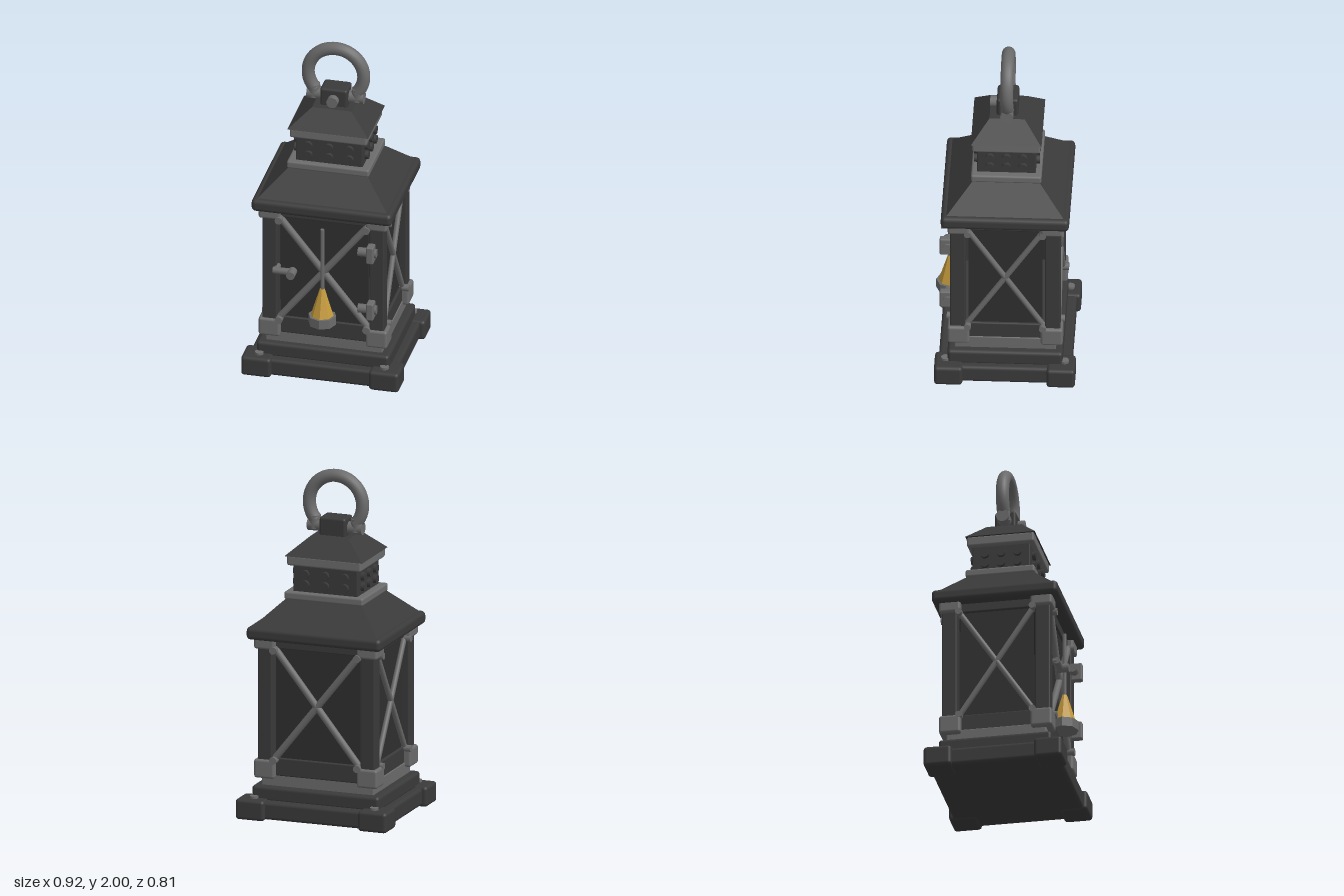
import * as THREE from 'three';
import { RoundedBoxGeometry } from 'three/addons/geometries/RoundedBoxGeometry.js';

const mat = (color, flatShading = false) => {
  const m = new THREE.MeshStandardMaterial({ color });
  m.flatShading = flatShading;
  return m;
};

export function createModel() {
  const root = new THREE.Group();
  root.name = 'lantern';
  const iron = mat(0x3a3a3a), pane = mat(0x2f2f2f), steel = mat(0x6b6b6b);
  const steelFlat = mat(0x6b6b6b, true), brass = mat(0xc49a3c, true);

  const add = (name, geo, material, x = 0, y = 0, z = 0, parent = root) => {
    const m = new THREE.Mesh(geo, material);
    m.name = name;
    m.position.set(x, y, z);
    parent.add(m);
    return m;
  };
  // Rounded block given by half width, bottom, top and half depth
  const block = (name, hx, y0, y1, hz, material, r = 0.015, x = 0, z = 0) =>
    add(name, new RoundedBoxGeometry(hx * 2, y1 - y0, hz * 2, 2, r), material, x, (y0 + y1) / 2, z);
  // Four-sided sloping roof
  const frustum = (name, bx, bz, tx, tz, y0, y1) => {
    const g = new THREE.BoxGeometry(bx * 2, y1 - y0, bz * 2);
    const p = g.attributes.position;
    for (let i = 0; i < p.count; i++) {
      if (p.getY(i) > 0) p.setXYZ(i, Math.sign(p.getX(i)) * tx, p.getY(i), Math.sign(p.getZ(i)) * tz);
    }
    g.computeVertexNormals();
    return add(name, g, iron, 0, (y0 + y1) / 2, 0);
  };
  // Round bar between two points
  const rod = (name, a, b, r, material, sides = 12) => {
    const from = new THREE.Vector3(...a), to = new THREE.Vector3(...b);
    const dir = to.clone().sub(from);
    const m = add(name, new THREE.CylinderGeometry(r, r, dir.length(), sides), material);
    m.position.copy(from).lerp(to, 0.5);
    m.quaternion.setFromUnitVectors(new THREE.Vector3(0, 1, 0), dir.normalize());
    return m;
  };
  const corners = [[-1, -1], [1, -1], [-1, 1], [1, 1]];

  // Stepped base
  block('baseSlab', 0.43, 0.008, 0.112, 0.378, iron, 0.02);
  block('baseStep', 0.387, 0.1, 0.19, 0.327, iron, 0.02);
  block('basePlinth', 0.34, 0.18, 0.262, 0.288, steel, 0.006);

  // Feet, posts and corner brackets
  for (const [sx, sz] of corners) {
    block('foot', 0.0875, 0, 0.12, 0.081, iron, 0.02, sx * 0.3725, sz * 0.319);
    rod('footRivet', [sx * 0.365, 0.11, sz * 0.338], [sx * 0.365, 0.134, sz * 0.338], 0.025, steel);
    block('post', 0.0425, 0.28, 1.04, 0.0435, iron, 0.008, sx * 0.3125, sz * 0.2695);
    block('lowerBracket', 0.0625, 0.235, 0.345, 0.0625, steel, 0.015, sx * 0.3125, sz * 0.2645);
    block('upperBracket', 0.0625, 0.99, 1.07, 0.0625, steel, 0.015, sx * 0.3125, sz * 0.2645);
  }

  // Rails
  block('lowerRail', 0.335, 0.25, 0.355, 0.293, iron, 0.008);
  block('upperRail', 0.335, 0.995, 1.07, 0.293, iron, 0.008);

  // Panes with crossed braces and rivets
  for (const s of [-1, 1]) {
    add('pane', new THREE.BoxGeometry(0.51, 0.66, 0.02), pane, 0, 0.675, s * 0.27);
    add('sidePane', new THREE.BoxGeometry(0.02, 0.66, 0.42), pane, s * 0.31, 0.675, 0);
    for (const d of [-1, 1]) {
      rod('brace', [-0.25, 0.675 - d * 0.315, s * 0.295], [0.25, 0.675 + d * 0.315, s * 0.295], 0.02, steel);
      rod('sideBrace', [s * 0.333, 0.675 - d * 0.315, -0.21], [s * 0.333, 0.675 + d * 0.315, 0.21], 0.016, steel);
      for (const y of [0.345, 0.99]) {
        rod('braceRivet', [d * 0.255, y, s * 0.28], [d * 0.255, y, s * 0.335], 0.022, steel);
        rod('sideBraceRivet', [s * 0.32, y, d * 0.213], [s * 0.375, y, d * 0.213], 0.02, steel);
      }
    }
  }

  // Main roof
  block('eave', 0.409, 1.047, 1.122, 0.364, iron, 0.025);
  frustum('roof', 0.387, 0.342, 0.225, 0.185, 1.112, 1.27);
  block('roofCollar', 0.24, 1.262, 1.308, 0.2, steel, 0.012);

  // Vented chimney
  block('chimney', 0.195, 1.295, 1.475, 0.167, iron, 0.006);
  for (const s of [-1, 1]) for (const y of [1.352, 1.413]) for (const i of [-1, 0, 1]) {
    rod('ventStud', [i * 0.12, y, s * 0.15], [i * 0.12, y, s * 0.187], 0.025, iron);
    rod('sideVentStud', [s * 0.18, y, i * 0.094], [s * 0.216, y, i * 0.094], 0.025, iron);
  }
  block('chimneyCollar', 0.225, 1.46, 1.52, 0.194, steel, 0.012);
  frustum('chimneyCap', 0.236, 0.201, 0.115, 0.1, 1.515, 1.622);

  // Hanger block with pin and open ring
  block('hangerBlock', 0.08, 1.61, 1.727, 0.061, iron, 0.015);
  rod('hangerPin', [0, 1.662, 0.04], [0, 1.662, 0.1], 0.033, steel);
  const a0 = -0.72, arc = Math.PI - 2 * a0;
  const ring = add('ring', new THREE.TorusGeometry(0.162, 0.0375, 14, 48, arc), steel, 0, 1.8, 0);
  ring.rotation.z = a0;
  for (const s of [-1, 1]) {
    rod('ringPivot', [s * 0.07, 1.665, 0], [s * 0.165, 1.665, 0], 0.037, steel, 16);
    rod('ringEnd', [s * 0.127, 1.645, 0], [s * 0.13, 1.72, 0], 0.037, steel, 16);
  }

  // Door handle
  rod('handleBar', [-0.285, 0.672, 0.337], [-0.165, 0.672, 0.337], 0.02, steel);
  rod('handleKnob', [-0.173, 0.672, 0.32], [-0.173, 0.672, 0.387], 0.025, steel);
  rod('handleMount', [-0.27, 0.672, 0.28], [-0.27, 0.672, 0.337], 0.018, steel);

  // Door hinges
  for (const y of [0.853, 0.488]) {
    block('hingePlate', 0.021, y - 0.053, y + 0.053, 0.032, steel, 0.008, 0.286, 0.342);
    rod('hingePin', [0.21, y, 0.33], [0.318, y, 0.33], 0.026, steel);
  }

  // Candle snuffer hung on the door
  add('snufferCup', new THREE.CylinderGeometry(0.08, 0.08, 0.055, 8), steelFlat, 0, 0.387, 0.327);
  add('snufferCone', new THREE.CylinderGeometry(0.014, 0.066, 0.17, 8), brass, 0, 0.499, 0.327);
  rod('snufferRod', [0, 0.57, 0.327], [0, 0.965, 0.327], 0.012, steel, 8);

  // Everything sits slightly back of centre
  for (const m of root.children) m.position.z -= 0.005;
  return root;
}
